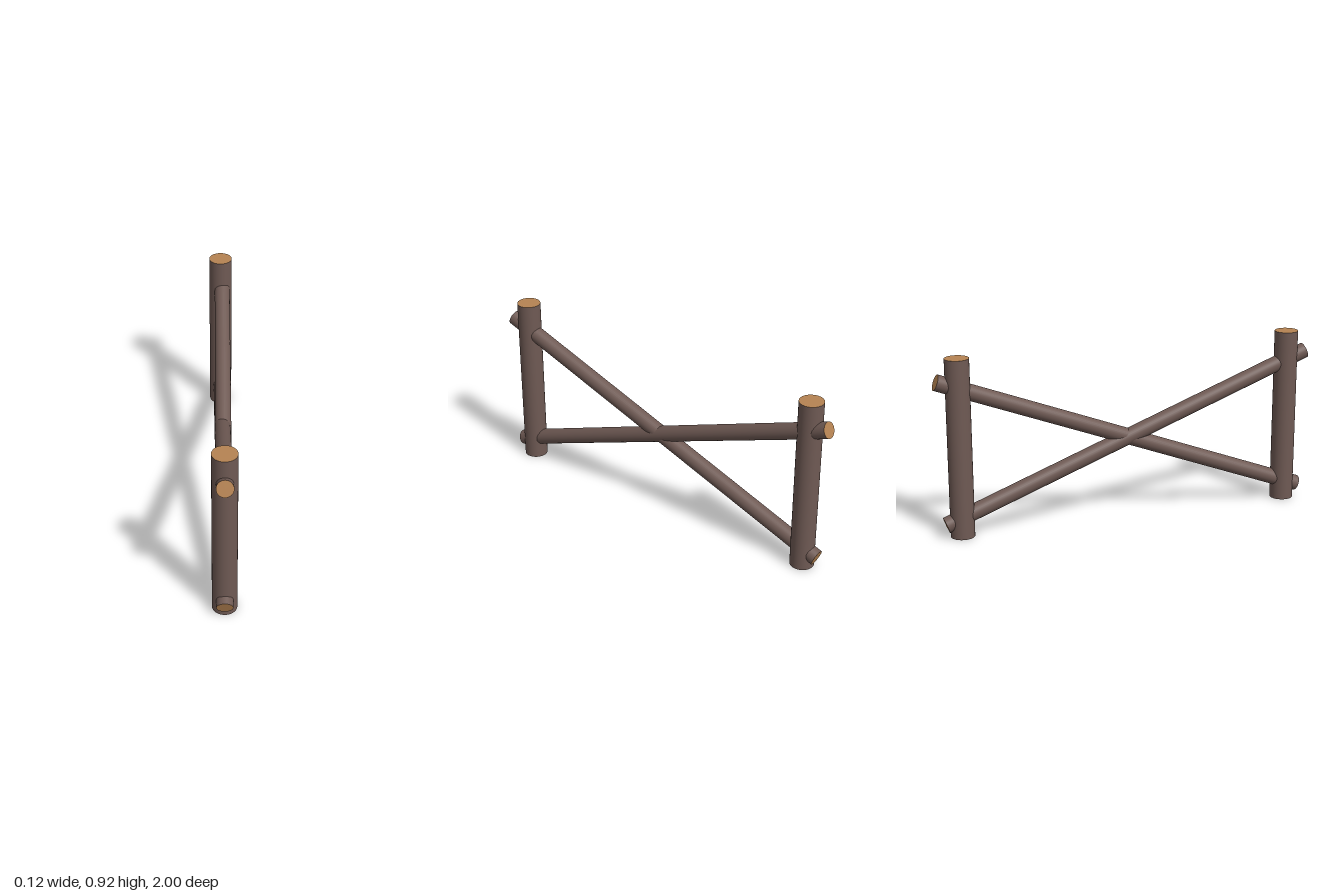
import * as THREE from 'three';

const bark = new THREE.MeshStandardMaterial({ name: 'bark', color: 0x6f5a54 });
const cutWood = new THREE.MeshStandardMaterial({ name: 'cutWood', color: 0xb58352 });

// Round log between two points: bark on the side, cut wood on both ends
function log(name, from, to, radius) {
  const a = new THREE.Vector3(...from);
  const b = new THREE.Vector3(...to);
  const axis = b.clone().sub(a);
  const geometry = new THREE.CylinderGeometry(radius, radius, axis.length(), 32);
  const mesh = new THREE.Mesh(geometry, [bark, cutWood, cutWood]);
  mesh.name = name;
  mesh.position.copy(a).add(b).multiplyScalar(0.5);
  mesh.quaternion.setFromUnitVectors(new THREE.Vector3(0, 1, 0), axis.normalize());
  return mesh;
}

export function createModel() {
  const group = new THREE.Group();
  group.name = 'crossRailFence';

  // Upright posts
  for (const [name, z] of [['frontPost', 0.878], ['backPost', -0.878]]) {
    group.add(log(name, [0, 0, z], [0, 0.917, z], 0.061));
  }

  // Crossed rails passing through the posts, one very slightly skewed
  group.add(log('fallingRail', [0, 0.803, 0.985], [0, 0.066, -0.96], 0.041));
  group.add(log('risingRail', [0, 0.066, 0.96], [0.009, 0.803, -0.985], 0.041));

  return group;
}
